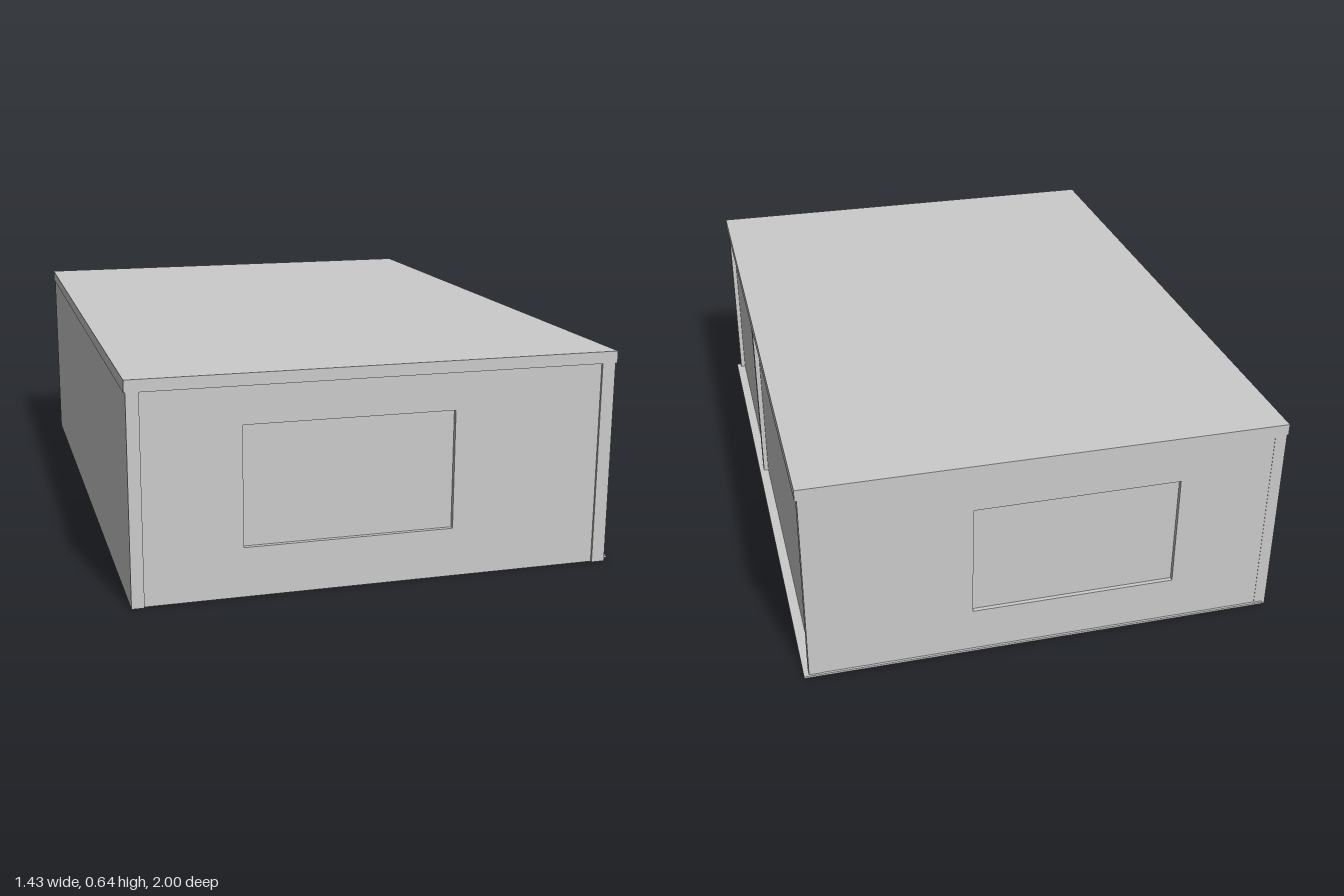
import * as THREE from 'three';

const material = new THREE.MeshStandardMaterial({ color: 0xcccccc, flatShading: true });

// Box given by its lower and upper limits on each axis
function block(name, [x0, x1], [y0, y1], [z0, z1]) {
  const geometry = new THREE.BoxGeometry(x1 - x0, y1 - y0, z1 - z0);
  geometry.translate((x0 + x1) / 2, (y0 + y1) / 2, (z0 + z1) / 2);
  const mesh = new THREE.Mesh(geometry, material);
  mesh.name = name;
  return mesh;
}

function rectangle(Type, x0, x1, y0, y1) {
  return new Type([[x0, y0], [x1, y0], [x1, y1], [x0, y1]].map(([x, y]) => new THREE.Vector2(x, y)));
}

const WALL_TOP = 0.605;
const WINDOW_X = [-0.4, 0.215];
const WINDOW_Y = [0.145, 0.495];

// End wall with a window opening and a slightly recessed pane
function endWall(name, x0, x1, z0, z1, paneZ) {
  const group = new THREE.Group();
  group.name = name;
  const shape = rectangle(THREE.Shape, x0, x1, 0, WALL_TOP);
  shape.holes.push(rectangle(THREE.Path, ...WINDOW_X, ...WINDOW_Y));
  const geometry = new THREE.ExtrudeGeometry(shape, { depth: z1 - z0, bevelEnabled: false });
  geometry.translate(0, 0, z0);
  const wall = new THREE.Mesh(geometry, material);
  wall.name = name + 'Panel';
  group.add(wall, block('windowPane', WINDOW_X, WINDOW_Y, paneZ));
  return group;
}

export function createModel() {
  const model = new THREE.Group();
  model.name = 'building';

  // Roof and floor slabs
  model.add(block('roof', [-0.72, 0.706], [WALL_TOP, 0.64], [-0.995, 1]));
  model.add(block('floor', [-0.705, 0.715], [0.004, 0.01], [-1, 0.985]));

  // End walls
  model.add(endWall('frontWall', -0.68, 0.66, 0.955, 0.993, [0.965, 0.98]));
  model.add(endWall('backWall', -0.68, 0.66, -0.993, -0.955, [-0.98, -0.965]));

  // Solid long wall on the right
  model.add(block('rightWall', [-0.716, -0.68], [0, WALL_TOP], [-0.994, 1]));

  // Long wall on the left: posts framing two large recessed panes
  const glazedWall = new THREE.Group();
  glazedWall.name = 'glazedWall';
  for (const z of [[-0.994, -0.96], [0.135, 0.17], [0.96, 1]]) {
    glazedWall.add(block('post', [0.66, 0.7], [0, WALL_TOP], z));
  }
  for (const z of [[-0.96, 0.135], [0.17, 0.96]]) {
    glazedWall.add(block('largePane', [0.665, 0.685], [0, WALL_TOP], z));
  }
  model.add(glazedWall);

  // Inner partitions, with their feet reaching just below the floor slab
  const partitions = new THREE.Group();
  partitions.name = 'partitions';
  const plans = [
    [[-0.22, 0.66], [0.14, 0.165]],
    [[0.04, 0.06], [0.165, 0.32]],
    [[0.45, 0.47], [0.165, 0.32]],
    [[0.04, 0.47], [0.3, 0.32]],
    [[-0.68, -0.505], [0.14, 0.165]],
    [[-0.68, -0.47], [0.42, 0.44]],
    [[-0.68, -0.47], [0.73, 0.75]],
    [[-0.43, -0.245], [0.48, 0.5]],
    [[-0.265, -0.245], [0.5, 0.63]],
  ];
  for (const [x, z] of plans) partitions.add(block('partition', x, [0, WALL_TOP], z));
  model.add(partitions);

  return model;
}
